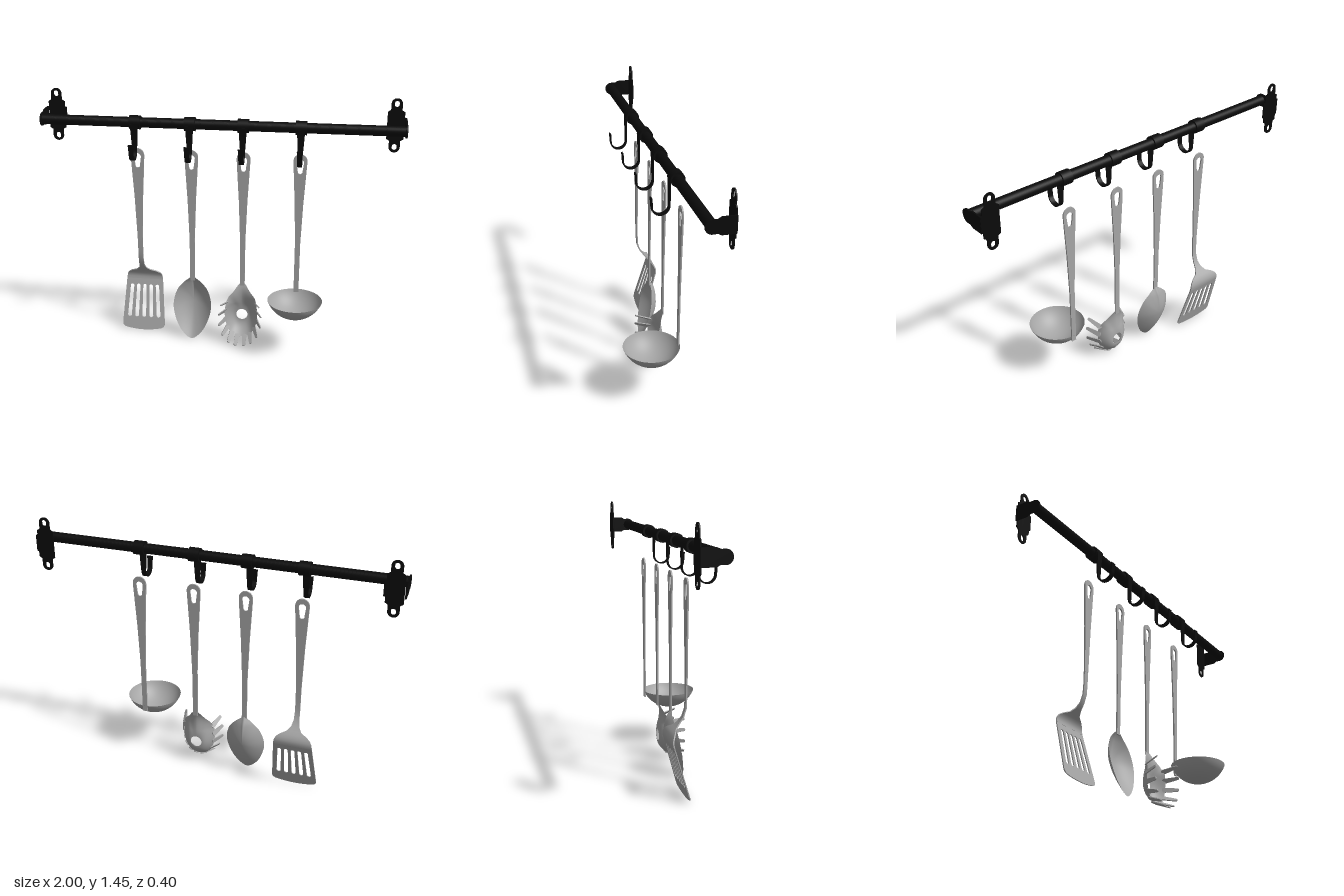
import * as THREE from 'three';
import { toCreasedNormals } from 'three/addons/utils/BufferGeometryUtils.js';

const steel = new THREE.MeshStandardMaterial({ color: 0xa6a6a6, side: THREE.DoubleSide });
steel.name = 'brushed steel';
const black = new THREE.MeshStandardMaterial({ color: 0x0b0b0b, side: THREE.DoubleSide });
black.name = 'matt black';

const RAIL_Y = 1.305, RAIL_Z = -0.075, HANDLE_Z = -0.104;

function add(parent, name, geometry, material) {
  const mesh = new THREE.Mesh(geometry, material);
  mesh.name = name;
  parent.add(mesh);
  return mesh;
}

// Slot outline with a round top and a round bottom
function capsule(Type, x0, y0, r0, x1, y1, r1) {
  const p = new Type();
  p.absarc(x0, y0, r0, 0, Math.PI, false);
  p.absarc(x1, y1, r1, Math.PI, Math.PI * 2, false);
  p.closePath();
  return p;
}

// Flat plate, centred on z = 0
function plate(shape, depth) {
  const g = new THREE.ExtrudeGeometry(shape, { depth, bevelEnabled: false, curveSegments: 10 });
  g.translate(0, 0, -depth / 2);
  return toCreasedNormals(g, 0.6);
}

// Bent strip: rows of [half width, y, z], thickened across its path
function ribbon(rows, t) {
  const pos = [], idx = [], n = rows.length;
  rows.forEach(([w, y, z], i) => {
    const a = rows[Math.max(i - 1, 0)], b = rows[Math.min(i + 1, n - 1)];
    const dy = b[1] - a[1], dz = b[2] - a[2], l = Math.hypot(dy, dz);
    const ny = (dz / l) * t / 2, nz = (-dy / l) * t / 2;
    pos.push(-w, y + ny, z + nz, w, y + ny, z + nz, w, y - ny, z - nz, -w, y - ny, z - nz);
  });
  for (let i = 0; i < n - 1; i++) for (let k = 0; k < 4; k++) {
    const a = i * 4 + k, b = i * 4 + (k + 1) % 4;
    idx.push(a, b, b + 4, a, b + 4, a + 4);
  }
  const e = (n - 1) * 4;
  idx.push(0, 2, 1, 0, 3, 2, e, e + 1, e + 2, e, e + 2, e + 3);
  const g = new THREE.BufferGeometry();
  g.setAttribute('position', new THREE.Float32BufferAttribute(pos, 3));
  g.setIndex(idx);
  return toCreasedNormals(g, 0.6);
}

// Dished head: rings scaled from a mirrored outline of [half width, y], top to bottom
function dish(half, yc, start, depthAt) {
  const loop = [...half, ...half.slice(1, -1).reverse().map(([x, y]) => [-x, y])];
  const curve = new THREE.CatmullRomCurve3(loop.map(([x, y]) => new THREE.Vector3(x, y, 0)), true);
  const N = 64, M = 14, pts = curve.getPoints(N), pos = [], idx = [];
  for (let j = 0; j <= M; j++) {
    for (let i = 0; i < N; i++) {
      const a = Math.atan2(pts[i].y - yc, pts[i].x), s = j / M;
      const x = start * Math.cos(a) * (1 - s) + pts[i].x * s;
      const y = yc + start * Math.sin(a) * (1 - s) + (pts[i].y - yc) * s;
      pos.push(x, y, depthAt(s, y));
      if (j < M) {
        const p = j * N + i, q = j * N + (i + 1) % N;
        idx.push(p, p + N, q, q, p + N, q + N);
      }
    }
  }
  const g = new THREE.BufferGeometry();
  g.setAttribute('position', new THREE.Float32BufferAttribute(pos, 3));
  g.setIndex(idx);
  g.computeVertexNormals();
  return g;
}

// Tapered flat handle with a hanging hole
function handle(group, bottom) {
  const s = new THREE.Shape();
  s.moveTo(-0.014, bottom);
  s.lineTo(0.014, bottom);
  s.lineTo(0.015, 0.62);
  s.lineTo(0.024, 0.86);
  s.lineTo(0.034, 1.03);
  s.lineTo(0.038, 1.1);
  s.absarc(0, 1.11, 0.038, 0, Math.PI, false);
  s.lineTo(-0.038, 1.1);
  s.lineTo(-0.034, 1.03);
  s.lineTo(-0.024, 0.86);
  s.lineTo(-0.015, 0.62);
  s.holes.push(capsule(THREE.Path, 0, 1.1, 0.02, 0, 1.048, 0.013));
  add(group, 'handle', plate(s, 0.008), steel).position.z = HANDLE_Z;
}

function spatula(group) {
  handle(group, 0.6);
  add(group, 'neck', ribbon([
    [0.015, 0.61, -0.104], [0.014, 0.53, -0.105], [0.014, 0.475, -0.108], [0.015, 0.43, -0.123],
    [0.022, 0.4, -0.146], [0.04, 0.379, -0.167], [0.075, 0.364, -0.182], [0.095, 0.35, -0.192],
    [0.104, 0.335, -0.198], [0.107, 0.32, -0.199], [0.109, 0.305, -0.196]], 0.007), steel);
  const s = new THREE.Shape();
  s.moveTo(-0.109, 0.306);
  s.lineTo(-0.128, 0.045);
  s.quadraticCurveTo(-0.128, 0.024, -0.108, 0.017);
  s.quadraticCurveTo(0, -0.007, 0.108, 0.017);
  s.quadraticCurveTo(0.128, 0.024, 0.128, 0.045);
  s.lineTo(0.109, 0.306);
  for (let i = -2; i <= 2; i++)
    s.holes.push(capsule(THREE.Path, i * 0.038, 0.262, 0.011, i * 0.044, 0.09, 0.012));
  const g = plate(s, 0.006);
  // lean the blade back towards its top
  g.applyMatrix4(new THREE.Matrix4().set(1, 0, 0, 0, 0, 1, 0, 0, 0, -0.279, 1, -0.111, 0, 0, 0, 1));
  add(group, 'slottedBlade', g, steel);
}

function spoon(group) {
  handle(group, 0.355);
  const half = [[0, 0.385], [0.015, 0.372], [0.05, 0.343], [0.09, 0.295], [0.112, 0.205],
    [0.092, 0.11], [0.052, 0.04], [0, 0.004]];
  add(group, 'spoonBowl', dish(half, 0.21, 0, (s, y) =>
    -0.104 + Math.max(0, 0.34 - y) * 0.19 - 0.06 * (1 - s * s)), steel);
}

function pastaServer(group) {
  handle(group, 0.33);
  const half = [[0, 0.36], [0.016, 0.35], [0.048, 0.307], [0.08, 0.27], [0.095, 0.19],
    [0.085, 0.11], [0.052, 0.055], [0, 0.038]];
  const rim = y => -0.104 + 0.06 * Math.min(1, Math.max(0, (0.35 - y) / 0.12));
  add(group, 'drainingBowl', dish(half, 0.152, 0.033, (s, y) => THREE.MathUtils.lerp(-0.104, rim(y), s * s)), steel);
  // teeth reach forward and slightly outward from the rim
  const tooth = plate(capsule(THREE.Shape, 0, 0.075, 0.009, 0, 0, 0.014), 0.006);
  const roots = [[0.087, 0.247], [0.094, 0.195], [0.091, 0.142], [0.077, 0.093], [0.052, 0.058], [0.02, 0.043]];
  for (const [rx, y] of roots) for (const side of [-1, 1]) {
    const x = rx * side;
    const out = new THREE.Vector3(x, y - 0.152, 0).normalize();
    const dir = out.clone().multiplyScalar(0.36).add(new THREE.Vector3(0, 0, 0.93)).normalize();
    const across = new THREE.Vector3(-out.y, out.x, 0);
    const m = add(group, 'tooth', tooth, steel);
    m.quaternion.setFromRotationMatrix(new THREE.Matrix4().makeBasis(across, dir, across.clone().cross(dir)));
    m.position.set(x, y, -0.05);
  }
}

function ladle(group) {
  handle(group, 0.3);
  const R = 0.165, profile = [];
  for (let i = 0; i <= 16; i++) {
    const a = (i / 16) * 1.2;
    profile.push(new THREE.Vector2(R * Math.sin(a), 0.23 + R * (1 - Math.cos(a))));
  }
  add(group, 'ladleBowl', new THREE.LatheGeometry(profile, 48), steel).position.z = 0.045;
}

// Clip round the rail with a J-shaped strip
function hook(group) {
  const clip = add(group, 'railClip', new THREE.CylinderGeometry(0.038, 0.038, 0.06, 28), black);
  clip.rotation.z = Math.PI / 2;
  clip.position.set(0, RAIL_Y, RAIL_Z);
  const rows = [[0.022, 1.3, -0.039], [0.017, 1.22, -0.041]];
  for (let i = 0; i <= 12; i++) {
    const a = Math.PI * (1 + i / 12);
    rows.push([0.013, 1.16 + 0.045 * Math.sin(a), 0.004 + 0.045 * Math.cos(a)]);
  }
  rows.push([0.016, 1.21, 0.052]);
  add(group, 'hookStrip', ribbon(rows, 0.007), black);
}

// Wall plate with screw tabs, and the arm that holds the rail end
function bracket(side) {
  const g = new THREE.Group();
  g.name = side > 0 ? 'leftBracket' : 'rightBracket';
  const s = new THREE.Shape();
  s.moveTo(-0.046, 1.23);
  s.lineTo(-0.03, 1.22);
  s.absarc(0, 1.185, 0.03, Math.PI, Math.PI * 2, false);
  s.lineTo(0.03, 1.22);
  s.lineTo(0.046, 1.23);
  s.lineTo(0.046, 1.26);
  s.lineTo(0.056, 1.262);
  s.lineTo(0.056, 1.348);
  s.lineTo(0.046, 1.35);
  s.lineTo(0.046, 1.38);
  s.lineTo(0.03, 1.39);
  s.absarc(0, 1.425, 0.03, 0, Math.PI, false);
  s.lineTo(-0.03, 1.39);
  s.lineTo(-0.046, 1.38);
  for (const y of [1.185, 1.425]) s.holes.push(capsule(THREE.Path, 0, y + 0.004, 0.013, 0, y - 0.004, 0.013));
  add(g, 'wallPlate', plate(s, 0.007), black).position.set(0.943 * side, 0, -0.188);
  const a = new THREE.Shape();
  a.moveTo(-0.19, 1.26);
  a.lineTo(-0.118, 1.26);
  a.lineTo(-0.1, 1.27);
  a.absarc(RAIL_Z, RAIL_Y, 0.036, -Math.PI / 2, Math.PI / 2, false);
  a.lineTo(-0.1, 1.34);
  a.lineTo(-0.118, 1.35);
  a.lineTo(-0.19, 1.35);
  const arm = add(g, 'railArm', plate(a, 0.008), black);
  arm.rotation.y = -Math.PI / 2;
  arm.position.x = 0.996 * side;
  return g;
}

export function createModel() {
  const model = new THREE.Group();
  model.name = 'utensilRail';
  const rail = add(model, 'rail', new THREE.CylinderGeometry(0.028, 0.028, 1.996, 32), black);
  rail.rotation.z = Math.PI / 2;
  rail.position.set(0, RAIL_Y, RAIL_Z);
  model.add(bracket(-1), bracket(1));

  const tools = [['spatula', spatula, -0.47], ['spoon', spoon, -0.165],
    ['pastaServer', pastaServer, 0.127], ['ladle', ladle, 0.44]];
  for (const [name, build, x] of tools) {
    for (const [label, make] of [[name, build], [name + 'Hook', hook]]) {
      const g = new THREE.Group();
      g.name = label;
      g.position.x = x;
      make(g);
      model.add(g);
    }
  }
  return model;
}
